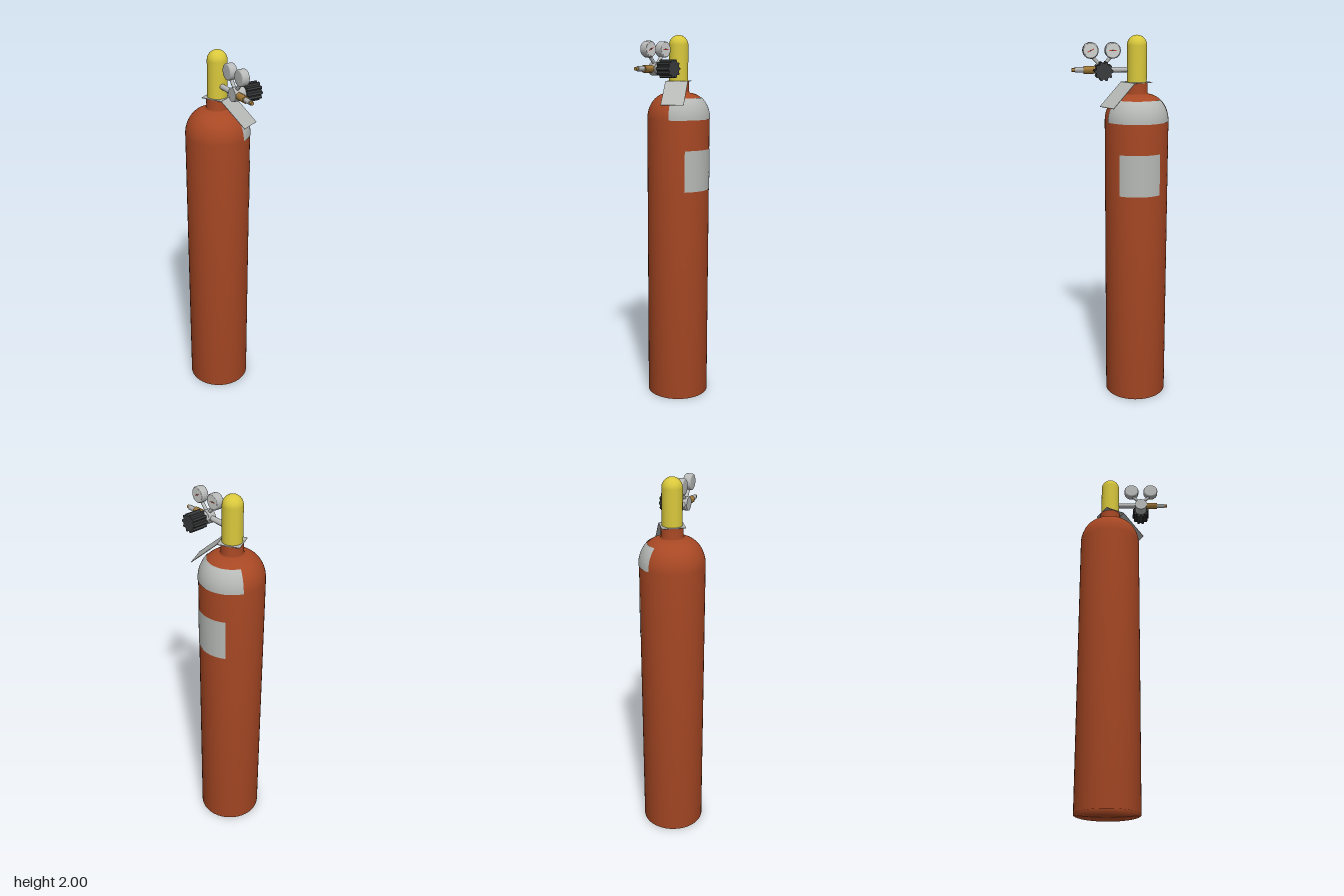
import * as THREE from 'three';

const mat = (name, color, side = THREE.FrontSide) => {
  const m = new THREE.MeshStandardMaterial({ color, side });
  m.name = name;
  return m;
};
const deg = THREE.MathUtils.degToRad;
const V2 = (x, y) => new THREE.Vector2(x, y);

export function createModel() {
  const orange = mat('orange paint', 0xa84824);
  const yellow = mat('yellow cap', 0xd9c83c);
  const paper = mat('label grey', 0xb6b9b6, THREE.DoubleSide);
  const metal = mat('steel', 0xb8bab9);
  const dialMat = mat('dial white', 0xd0d2d0);
  const black = mat('black plastic', 0x3a3b3c);
  const brass = mat('brass', 0xa47c3a);
  const red = mat('needle red', 0xb83a28);

  const root = new THREE.Group();
  root.name = 'gasCylinder';
  const add = (parent, name, geo, material, x = 0, y = 0, z = 0) => {
    const m = new THREE.Mesh(geo, material);
    m.name = name;
    m.position.set(x, y, z);
    parent.add(m);
    return m;
  };

  // Tank group, its axis set behind the centre
  const tank = new THREE.Group();
  tank.name = 'tank';
  tank.position.z = -0.086;
  root.add(tank);

  const R = 0.169, neckR = 0.057, shoulderY = 1.56;
  const shoulder = (t, off = 0) => V2(
    neckR + (R - neckR + off) * Math.cos(t),
    shoulderY + (0.138 + off) * Math.sin(t));
  const profile = [V2(0, 0), V2(R, 0)];
  for (let i = 0; i <= 12; i++) profile.push(shoulder(i / 12 * Math.PI / 2 * 0.97));
  profile.push(V2(neckR, 1.705), V2(neckR, 1.76));
  add(tank, 'body', new THREE.LatheGeometry(profile, 48), orange);

  // Domed valve cap
  const cap = [V2(0, 1.758), V2(0.052, 1.758), V2(0.052, 1.76)];
  for (let i = 0; i <= 10; i++) {
    const t = i / 10 * Math.PI / 2;
    cap.push(V2(0.052 * Math.cos(t), 1.948 + 0.052 * Math.sin(t)));
  }
  add(tank, 'cap', new THREE.LatheGeometry(cap, 32), yellow);

  // Curved labels, both centred on the left side
  const band = (points, halfAngle) =>
    new THREE.LatheGeometry(points, 32, Math.PI / 2 - halfAngle, 2 * halfAngle);
  const arc = [];
  for (let i = 0; i <= 8; i++) arc.push(shoulder(i / 8 * deg(53), 0.003));
  add(tank, 'shoulderLabel', band(arc, deg(68)), paper);
  add(tank, 'wallLabel', band([V2(R + 0.002, 1.18), V2(R + 0.002, 1.4)], deg(38.7)), paper);

  // Bent tag hung round the neck
  const tag = new THREE.Group();
  tag.name = 'tag';
  tag.position.y = 1.76;
  tag.rotation.y = deg(30);
  tank.add(tag);
  add(tag, 'tagCollar', new THREE.BoxGeometry(0.121, 0.003, 0.116), paper);
  const flap = add(tag, 'tagFlap', new THREE.BoxGeometry(0.121, 0.003, 0.181), paper, 0, -0.06, 0.126);
  flap.rotation.x = deg(41.4);

  // Regulator group
  const reg = new THREE.Group();
  reg.name = 'regulator';
  reg.position.y = 1.825;
  root.add(reg);

  const rod = (name, z0, z1, r0, r1, material, sides = 20) => {
    const m = add(reg, name, new THREE.CylinderGeometry(r1, r0, z1 - z0, sides), material, 0, 0, (z0 + z1) / 2);
    m.rotation.x = Math.PI / 2;
    return m;
  };
  rod('inletPipe', -0.045, 0.075, 0.014, 0.014, metal);
  rod('outletNut', 0.125, 0.192, 0.02, 0.02, brass, 6);
  rod('outletFitting', 0.192, 0.237, 0.014, 0.014, metal, 6);
  rod('outletTip', 0.237, 0.253, 0.009, 0.009, brass);

  // Disc along x
  const disc = (parent, name, x0, x1, r, material, y, z) => {
    const m = add(parent, name, new THREE.CylinderGeometry(r, r, x1 - x0, 32), material, (x0 + x1) / 2, y, z);
    m.rotation.z = -Math.PI / 2;
    return m;
  };
  disc(reg, 'regulatorBody', -0.021, 0.021, 0.035, metal, 0, 0.097);
  disc(reg, 'knobCollar', 0.021, 0.042, 0.033, metal, 0, 0.097);

  // Fluted adjusting knob
  const outline = [];
  for (let i = 0; i < 96; i++) {
    const a = i / 96 * Math.PI * 2;
    const r = 0.0435 + 0.0045 * Math.tanh(2.5 * Math.cos(10 * a));
    outline.push(V2(r * Math.cos(a), r * Math.sin(a)));
  }
  const knob = add(reg, 'knob', new THREE.ExtrudeGeometry(new THREE.Shape(outline),
    { depth: 0.084, bevelEnabled: false }), black, 0.041, 0, 0.097);
  knob.rotation.y = Math.PI / 2;

  // Two gauges on slanted stems
  const casing = [V2(0, -0.021), V2(0.034, -0.021), V2(0.039, -0.019), V2(0.0415, -0.014),
    V2(0.0415, 0.014), V2(0.039, 0.019), V2(0.036, 0.021), V2(0.034, 0.019), V2(0, 0.019)];
  for (const [name, z, tilt] of [['highGauge', 0.041, 0], ['lowGauge', 0.155, 25]]) {
    const path = new THREE.LineCurve3(new THREE.Vector3(0, 0.015, 0.097), new THREE.Vector3(0, 0.075, z));
    add(reg, name + 'Stem', new THREE.TubeGeometry(path, 1, 0.009, 12), metal);
    const g = new THREE.Group();
    g.name = name;
    g.position.set(0, 0.098, z);
    reg.add(g);
    add(g, 'gaugeCase', new THREE.LatheGeometry(casing, 32), metal).rotation.z = -Math.PI / 2;
    disc(g, 'dial', 0.0185, 0.0198, 0.0335, dialMat, 0, 0);
    const needle = add(g, 'needle', new THREE.BoxGeometry(0.001, 0.004, 0.036), red, 0.0205, 0, 0);
    needle.rotation.x = deg(tilt);
    disc(g, 'needleHub', 0.0198, 0.0215, 0.004, black, 0, 0);
  }
  return root;
}
